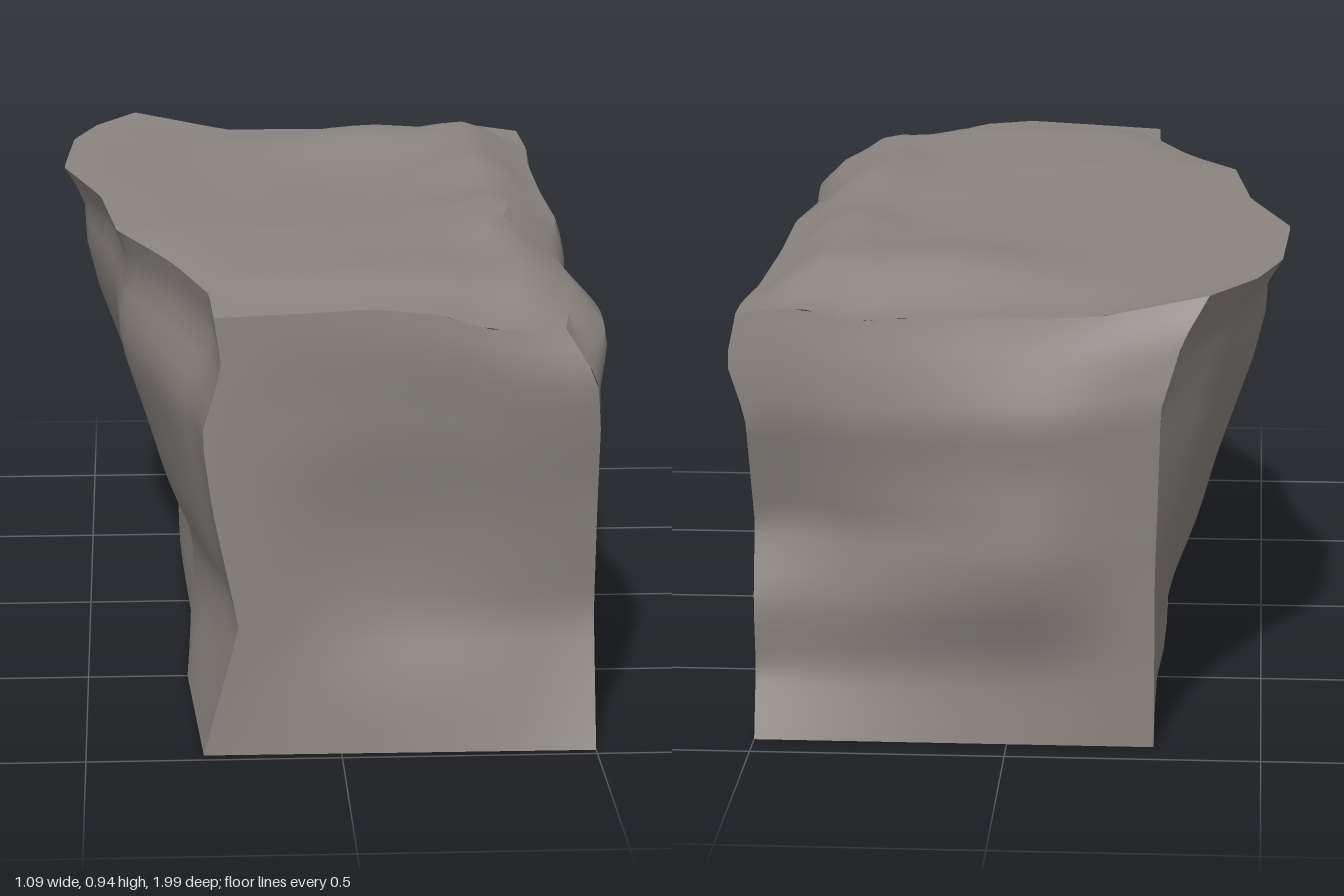
import * as THREE from 'three';
import { mergeGeometries, toCreasedNormals } from 'three/addons/utils/BufferGeometryUtils.js';

// Polyline edge, sampled by length
function edge(...pts) {
  const path = new THREE.CurvePath();
  const v = pts.map((p) => new THREE.Vector3(...p));
  for (let i = 1; i < v.length; i++) path.add(new THREE.LineCurve3(v[i - 1], v[i]));
  return (t) => path.getPoint(t);
}
const rev = (e) => (t) => e(1 - t);
const bell = (d, width) => Math.exp(-((d / width) ** 2));

// Surface stretched between four edges, then shaped by a rule (point, s, t)
function patch(bottom, top, left, right, nu, nv, shape) {
  const pos = [], index = [];
  const c00 = bottom(0), c10 = bottom(1), c01 = top(0), c11 = top(1);
  for (let j = 0; j <= nv; j++) {
    for (let i = 0; i <= nu; i++) {
      const s = i / nu, t = j / nv;
      const p = bottom(s).multiplyScalar(1 - t)
        .addScaledVector(top(s), t)
        .addScaledVector(left(t), 1 - s)
        .addScaledVector(right(t), s)
        .addScaledVector(c00, -(1 - s) * (1 - t))
        .addScaledVector(c10, -s * (1 - t))
        .addScaledVector(c01, -(1 - s) * t)
        .addScaledVector(c11, -s * t);
      if (shape && i > 0 && j > 0 && i < nu && j < nv) shape(p, s, t);
      pos.push(p.x, p.y, p.z);
      if (i < nu && j < nv) {
        const a = j * (nu + 1) + i, b = a + 1, d = a + nu + 1, c = d + 1;
        index.push(a, b, c, a, c, d);
      }
    }
  }
  const g = new THREE.BufferGeometry();
  g.setAttribute('position', new THREE.Float32BufferAttribute(pos, 3));
  g.setIndex(index);
  return g;
}

// 1 inside, falling smoothly to 0 at the rim
const ramp = (x) => THREE.MathUtils.smoothstep(x, 0, 1);
const fade = (s, t, k) => ramp(k * s) * ramp(k * (1 - s)) * ramp(k * t) * ramp(k * (1 - t));

export function createModel() {
  const FLB = [-0.27, 0, 0.975], FRB = [0.5, 0, 0.98], BLB = [-0.29, 0, -0.93], BRB = [0.5, 0, -0.93];
  const FLT = [-0.245, 0.88, 0.975], FRT = [0.43, 0.845, 0.945];
  const BLT = [-0.39, 0.915, -0.945], BRT = [0.52, 0.865, -0.93];

  // Upright corners, bottom to top
  const frontLeft = edge(FLB, [-0.2, 0.26, 0.975], [-0.25, 0.5, 0.975], [-0.27, 0.65, 0.975],
    [-0.23, 0.78, 0.975], FLT);
  const frontRight = edge(FRB, [0.5, 0.26, 0.9], [0.5, 0.5, 0.925], [0.5, 0.66, 0.955],
    [0.49, 0.75, 0.968], FRT);
  const backRight = edge(BRB, [0.5, 0.14, -0.885], [0.5, 0.27, -0.9], [0.5, 0.43, -0.86],
    [0.505, 0.66, -0.935], [0.54, 0.77, -0.935], BRT);
  const backLeft = edge(BLB, [-0.29, 0.35, -0.95], [-0.3, 0.7, -0.985], [-0.34, 0.83, -0.97], BLT);

  // Lower rim
  const lowFront = edge(FLB, FRB), lowBack = edge(BLB, BRB), lowRight = edge(BRB, FRB);
  const lowLeft = edge(BLB, [-0.28, 0, -0.6], [-0.295, 0, -0.3], [-0.28, 0, 0.1], [-0.295, 0, 0.5], FLB);

  // Upper rim
  const topFront = edge(FLT, [0.06, 0.895, 0.983], [0.18, 0.885, 0.986], [0.28, 0.855, 0.988], FRT);
  const topBack = edge(BLT, [-0.17, 0.87, -0.95], [0, 0.87, -0.955], [0.2, 0.865, -0.95],
    [0.29, 0.855, -0.945], [0.4, 0.88, -0.94], BRT);
  const topLeft = edge(BLT, [-0.48, 0.915, -0.79], [-0.53, 0.915, -0.62], [-0.548, 0.915, -0.3],
    [-0.465, 0.912, 0], [-0.43, 0.91, 0.33], [-0.35, 0.9, 0.5], [-0.31, 0.895, 0.6],
    [-0.25, 0.885, 0.8], FLT);
  const topRight = edge(BRT, [0.53, 0.85, -0.78], [0.515, 0.85, -0.62], [0.51, 0.85, -0.3],
    [0.515, 0.85, 0], [0.48, 0.86, 0.2], [0.45, 0.87, 0.33], [0.48, 0.86, 0.64], FRT);

  const faces = [
    // Front, with a shallow dent
    patch(lowFront, topFront, frontLeft, frontRight, 18, 20, (p, s, t) => {
      const w = fade(s, t, 4);
      p.z -= w * 0.03 * bell(Math.hypot(p.x - 0.08, p.y - 0.4), 0.22);
      p.z -= w * 0.012 * bell(p.y - 0.78, 0.12);
    }),
    // Right side: flat wall swelling under the upper rim
    patch(rev(lowRight), rev(topRight), frontRight, backRight, 44, 28, (p, s, t) => {
      const w = ramp(10 * s) * ramp(10 * (1 - s)) * ramp(12 * (1 - t));
      const swell = 0.5 + (0.026 + 0.012 * bell(p.z - 0.64, 0.15) + 0.014 * bell(p.z + 0.78, 0.12)
        - 0.026 * bell(p.z - 0.3, 0.15)) * bell(p.y - 0.78, 0.08);
      p.x += (swell - p.x) * w;
    }),
    // Back, with two soft bulging bands
    patch(rev(lowBack), rev(topBack), backRight, backLeft, 18, 24, (p, s, t) => {
      const w = fade(s, t, 3);
      p.z -= w * 0.062 * bell(p.y - 0.4, 0.17) * bell(p.x + 0.06, 0.35);
      p.z -= w * 0.022 * bell(p.y - 0.7, 0.12) * bell(p.x + 0.1, 0.35);
    }),
    // Left side, leaning outwards, swollen above and slightly hollowed near the foot
    patch(lowLeft, topLeft, backLeft, frontLeft, 44, 20, (p, s, t) => {
      const w = fade(s, t, 5);
      p.x += w * 0.012 * bell(p.y - 0.16, 0.12);
      p.x -= w * (0.042 * bell(p.y - 0.68, 0.2) + 0.02 * bell(p.y - 0.38, 0.14));
    }),
    // Top, with low mounds towards the right
    patch(topFront, topBack, rev(topLeft), rev(topRight), 20, 44, (p, s, t) => {
      const w = fade(s, t, 8);
      const mounds = 0.042 + 0.02 * bell(p.z - 0.16, 0.17) + 0.018 * bell(p.z + 0.3, 0.14);
      const calm = p.z > 0.4 ? Math.max(0.25, 1 - (p.z - 0.4) * 1.6) : 1;
      p.y += w * mounds * calm * bell(p.x - 0.38, 0.18);
      p.y += w * 0.05 * bell(Math.hypot(p.x - 0.14, p.z + 0.65), 0.22);
      p.y += w * (0.01 + 0.012 * bell(p.z - 0.8, 0.2));
    }),
    // Flat underside
    patch(lowBack, lowFront, lowLeft, lowRight, 18, 44),
  ];

  const stone = new THREE.MeshStandardMaterial({ color: 0x8b8580 });
  stone.name = 'stoneGrey';
  const rock = new THREE.Mesh(toCreasedNormals(mergeGeometries(faces), 0.65), stone);
  rock.name = 'rockBlock';

  const group = new THREE.Group();
  group.name = 'rock';
  group.add(rock);
  return group;
}
